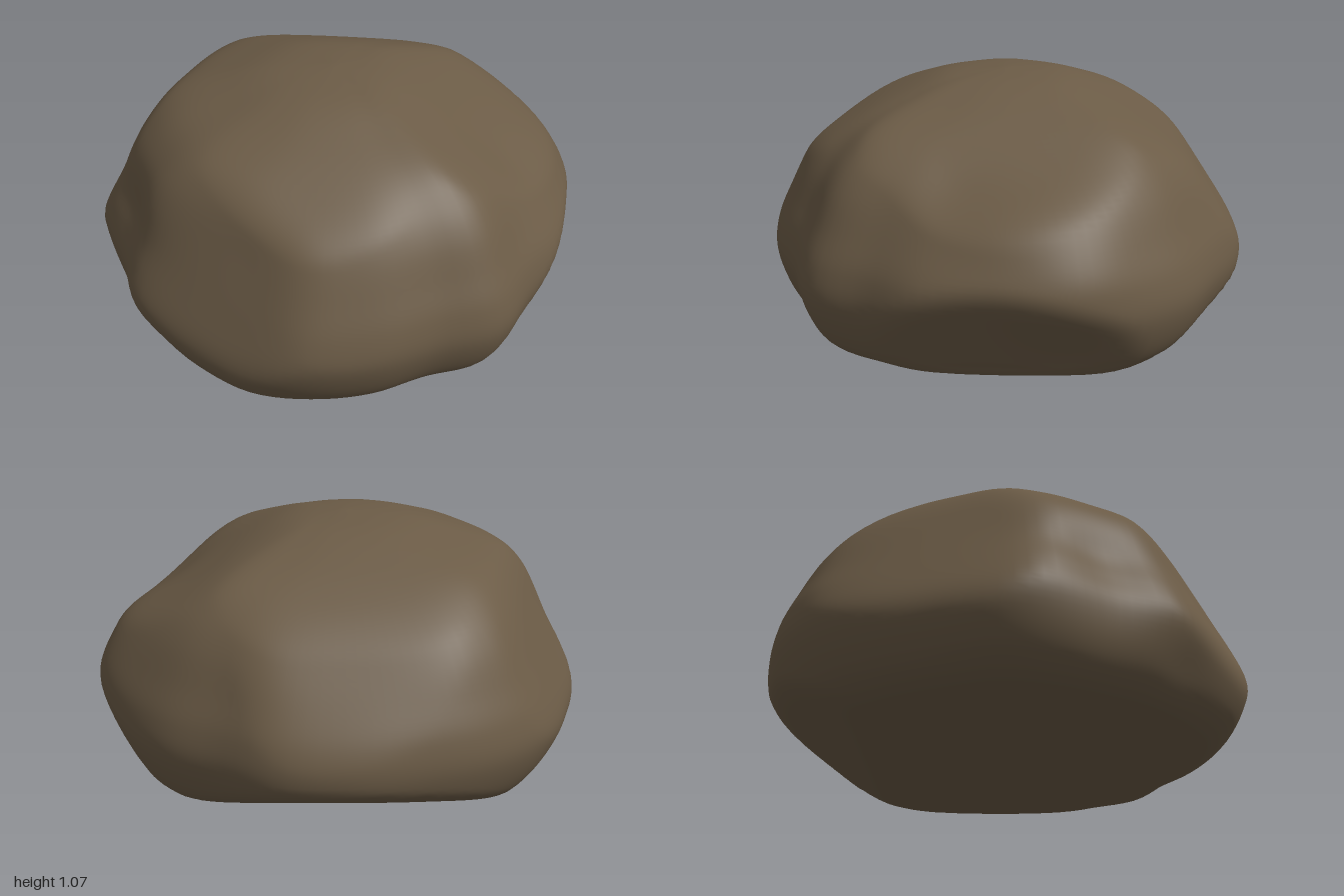
import * as THREE from 'three';
import { mergeVertices } from 'three/addons/utils/BufferGeometryUtils.js';

// Plan outline radius every 15 degrees, from +x towards +z
const OUTLINE = [1, 0.945, 0.975, 1, 1.02, 1, 1.005, 0.99, 1.01, 1.03, 0.995, 0.99,
  1, 0.995, 0.98, 0.99, 1.005, 0.975, 1, 1.01, 1.005, 1.02, 1.01, 0.965];

// Half profile from the underside up to the crown
const PROFILE = [[0, 0], [0.45, 0.005], [0.74, 0.02], [0.87, 0.07], [0.95, 0.17], [1, 0.32],
  [0.985, 0.45], [0.93, 0.58], [0.86, 0.72], [0.77, 0.83], [0.64, 0.93], [0.45, 1],
  [0.25, 1.05], [0, 1.07]];

// Planes that chip broad faces off the stone: normal, distance from origin
const CHIPS = [
  [0.3, 0.4, 0.87, 1.02], // front face
  [0.78, 0.43, 0.46, 1.08], // left face
  [-0.8, 0.43, 0.42, 1.02], // right face
  [-0.57, 0.59, -0.57, 1.06], // back right face
  [0.35, 0.87, -0.35, 1.04], // crown slopes
  [-0.35, 0.87, -0.35, 1.06],
  [0.35, 0.87, 0.35, 1.08],
  [0.6, -0.52, -0.6, 0.61], // undercut at the back left
  [-0.35, -0.87, -0.35, 0.26], // undercut at the back right
];

// Scooped hollows, or bulges where the depth is negative: centre, radius, depth
const DENTS = [
  [-0.3, 0.46, 0.8, 0.24, 0.1],
  [0.02, 0.14, 0.97, 0.14, 0.025],
  [0.74, 0.72, -0.42, 0.22, 0.045],
  [0.45, 0.52, -0.85, 0.22, -0.05],
];

function boulderGeometry() {
  const core = new THREE.Vector3(0, 0.4, 0);
  const outline = new THREE.CatmullRomCurve3(OUTLINE.map((r, i) => {
    const a = (i / OUTLINE.length) * Math.PI * 2;
    return new THREE.Vector3(r * Math.cos(a), 0, r * Math.sin(a));
  }), true);
  const profile = new THREE.SplineCurve(PROFILE.map(([r, y]) => new THREE.Vector2(r, y))).getPoints(78);
  profile[0].x = profile[profile.length - 1].x = 0;

  let geometry = new THREE.LatheGeometry(profile, 120);
  const pos = geometry.attributes.position;
  const p = new THREE.Vector3(), dir = new THREE.Vector3(), centre = new THREE.Vector3();
  for (let i = 0; i < pos.count; i++) {
    p.fromBufferAttribute(pos, i);
    // Follow the uneven plan outline
    const turn = Math.atan2(p.z, p.x) / (Math.PI * 2);
    const spread = outline.getPoint((turn + 1) % 1).length();
    p.x *= spread;
    p.z *= spread;
    // Soft cut towards the core by each plane
    dir.subVectors(p, core);
    let reach = dir.length();
    dir.normalize();
    for (const [nx, ny, nz, d] of CHIPS) {
      const facing = dir.x * nx + dir.y * ny + dir.z * nz;
      if (facing < 0.05) continue;
      const cut = (d - core.y * ny) / facing;
      const h = Math.max(0.06 - Math.abs(reach - cut), 0) / 0.06;
      reach = Math.min(reach, cut) - h * h * 0.015;
    }
    // Dents and gentle unevenness
    p.copy(core).addScaledVector(dir, reach);
    for (const [x, y, z, radius, depth] of DENTS) {
      const far = p.distanceTo(centre.set(x, y, z)) / radius;
      reach -= depth * Math.exp(-far * far);
    }
    if (p.y > 0.1) reach += 0.005 * Math.sin(6 * p.x + 2) * Math.sin(7 * p.y) * Math.sin(6 * p.z + 1);
    p.copy(core).addScaledVector(dir, reach);
    pos.setXYZ(i, p.x, p.y, p.z);
  }
  // Weld the seam, then centre on the ground
  geometry.deleteAttribute('uv');
  geometry.deleteAttribute('normal');
  geometry = mergeVertices(geometry, 1e-4);
  geometry.computeBoundingBox();
  const { min, max } = geometry.boundingBox;
  geometry.translate(-(min.x + max.x) / 2, -min.y, -(min.z + max.z) / 2);
  geometry.computeVertexNormals();
  return geometry;
}

export function createModel() {
  const group = new THREE.Group();
  group.name = 'boulder';
  const stone = new THREE.MeshStandardMaterial({ color: 0x6b5b46 });
  stone.name = 'brown stone';
  const rock = new THREE.Mesh(boulderGeometry(), stone);
  rock.name = 'rock';
  group.add(rock);
  return group;
}
